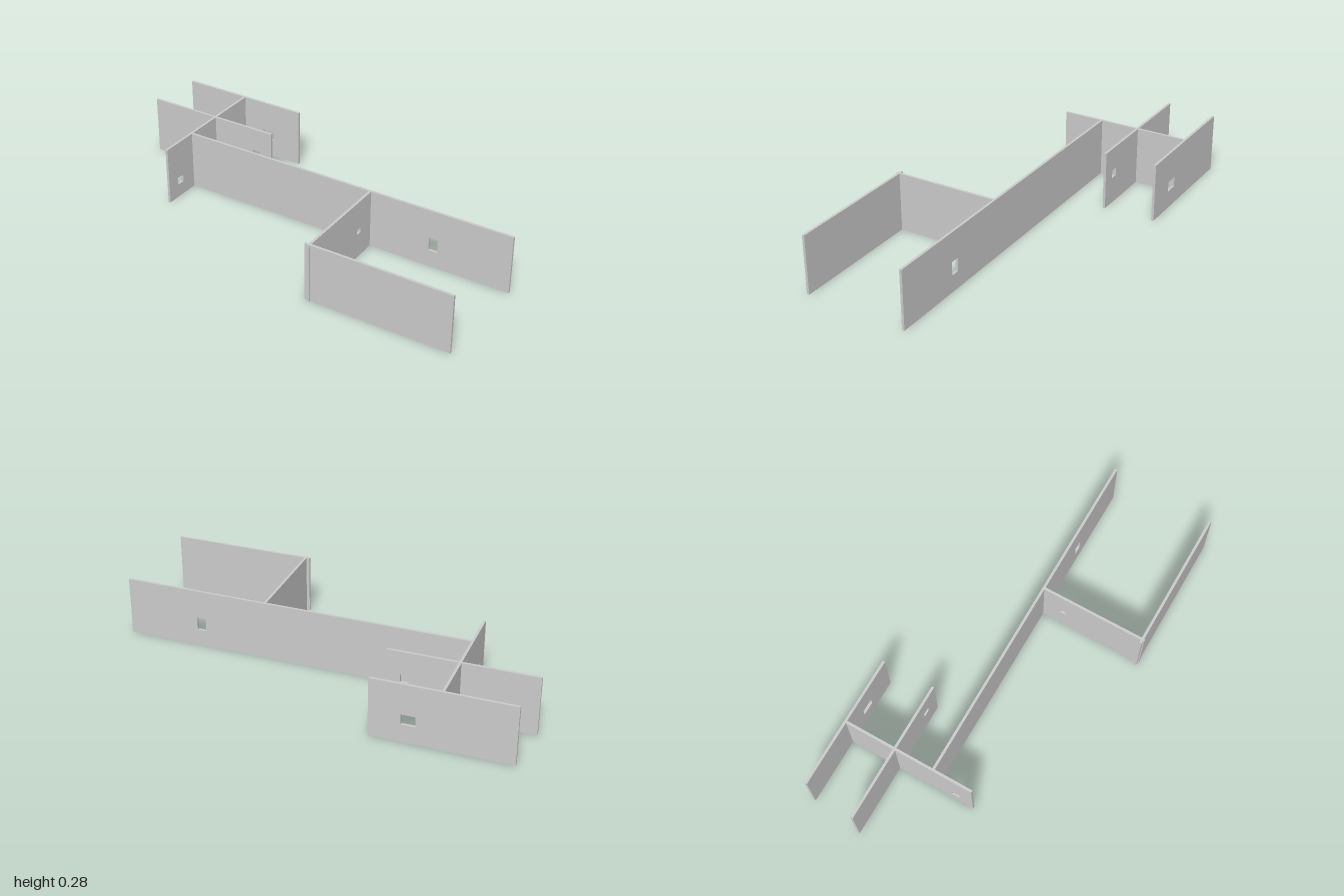
import * as THREE from 'three';

const HEIGHT = 0.28;
const THICK = 0.012;
const material = new THREE.MeshStandardMaterial({ color: 0xcccccc, flatShading: true });

// Upright panel from a to b along one axis, centred at `at` on the other,
// with one rectangular opening [a0, a1, y0, y1].
function panel(name, axis, a, b, at, [a0, a1, y0, y1]) {
  const s = axis === 'x' ? 1 : -1; // a z-panel is turned, so its outline runs along -z
  const rect = (path, u0, u1, v0, v1) => {
    const [l, r] = s > 0 ? [u0, u1] : [-u1, -u0];
    return path.moveTo(l, v0).lineTo(r, v0).lineTo(r, v1).lineTo(l, v1).closePath();
  };
  const shape = rect(new THREE.Shape(), a, b, 0, HEIGHT);
  if (a1 > a0) shape.holes.push(rect(new THREE.Path(), a0, a1, y0, y1));
  const geo = new THREE.ExtrudeGeometry(shape, { depth: THICK, bevelEnabled: false });
  geo.translate(0, 0, -THICK / 2);
  if (axis === 'z') geo.rotateY(Math.PI / 2);
  geo.translate(axis === 'z' ? at : 0, 0, axis === 'x' ? at : 0);
  const mesh = new THREE.Mesh(geo, material);
  mesh.name = name;
  return mesh;
}

export function createModel() {
  const group = new THREE.Group();
  group.name = 'wallLayout';
  group.add(
    // walls running left to right
    panel('backWall', 'x', -0.97, -0.335, -0.471, [-0.542, -0.478, 0.087, 0.135]),
    panel('innerBackWall', 'x', -1, -0.33, -0.223, [-0.43, -0.393, 0.13, 0.168]),
    panel('mainWall', 'x', -0.65, 1, -0.032, [0.613, 0.656, 0.08, 0.143]),
    panel('frontWall', 'x', 0.295, 0.98, 0.466, [0, 0, 0, 0]),
    // walls running back to front
    panel('rightCrossWall', 'z', -0.475, 0.16, -0.652, [0.055, 0.095, 0.065, 0.1]),
    panel('leftCrossWall', 'z', -0.035, 0.477, 0.316, [0.059, 0.087, 0.119, 0.143]),
  );
  return group;
}
